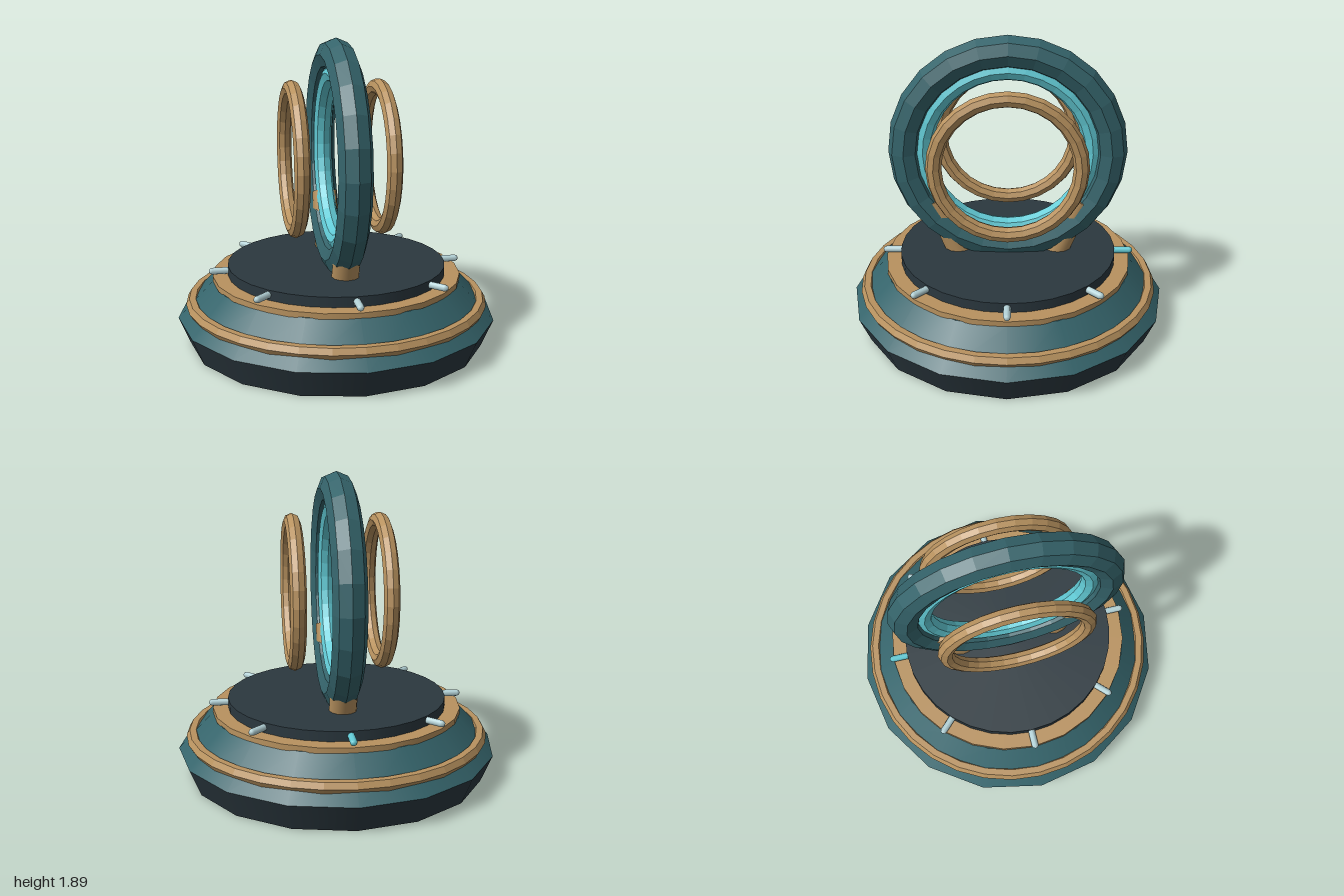
import * as THREE from 'three';

const mat = (name, color) => {
  const m = new THREE.MeshStandardMaterial({ color });
  m.name = name;
  return m;
};

export function createModel() {
  const root = new THREE.Group();
  root.name = 'ringPedestal';
  const teal = mat('teal', 0x35646b);
  const dark = mat('darkSlate', 0x2b383f);
  const gold = mat('bronze', 0xb8925f);
  const cyan = mat('glowCyan', 0x62cbd6);
  const pale = mat('paleCrystal', 0xb4d3d8);

  const add = (name, geo, material, x = 0, y = 0, z = 0) => {
    const mesh = new THREE.Mesh(geo, material);
    mesh.name = name;
    mesh.position.set(x, y, z);
    root.add(mesh);
    return mesh;
  };
  // Faceted copy of a geometry
  const facet = (geo) => {
    const g = geo.toNonIndexed();
    g.computeVertexNormals();
    return g;
  };
  // Solid disc or cone section between two heights
  const disc = (name, material, rTop, rBottom, y0, y1, sides) =>
    add(name, new THREE.CylinderGeometry(rTop, rBottom, y1 - y0, sides), material, 0, (y0 + y1) / 2, 0);

  // Stepped pedestal
  disc('baseFoot', dark, 1, 0.93, 0, 0.17, 16);
  disc('baseSlope', teal, 0.78, 1, 0.17, 0.4, 16);
  disc('upperTrim', gold, 0.78, 0.78, 0.395, 0.43, 24);
  disc('platform', dark, 0.685, 0.685, 0.43, 0.492, 32);
  add('baseBand', facet(new THREE.TorusGeometry(0.91, 0.04, 6, 32).rotateX(Math.PI / 2)), gold, 0, 0.255, 0);

  // Upright rings, all facing sideways
  const centreY = 1.155;
  const ring = (name, material, radius, tube, sides, segments, x = 0) =>
    add(name, facet(new THREE.TorusGeometry(radius, tube, sides, segments).rotateY(Math.PI / 2)), material, x, centreY, 0);
  ring('mainRing', teal, 0.635, 0.1, 8, 24);
  ring('innerGlowRing', cyan, 0.52, 0.06, 8, 32);
  for (const s of [1, -1]) ring(s > 0 ? 'leftSideRing' : 'rightSideRing', gold, 0.437, 0.048, 8, 28, s * 0.27);

  // Slanted posts that hold the main ring
  for (const s of [1, -1]) {
    const post = add(s > 0 ? 'frontPost' : 'backPost',
      new THREE.CylinderGeometry(0.082, 0.085, 0.44, 12), gold, 0, 0.631, s * 0.374);
    post.rotation.x = s * 0.38;
  }

  // Crystal pins around the platform, the rear one glowing
  for (let i = 0; i < 8; i++) {
    const a = (i * Math.PI) / 4;
    const geo = new THREE.CapsuleGeometry(0.022, 0.12, 2, 8).rotateX(Math.PI / 2);
    const pin = add('crystalPin' + (i + 1), geo, i === 4 ? cyan : pale,
      Math.sin(a) * 0.722, 0.463, Math.cos(a) * 0.722);
    pin.rotation.y = a;
  }
  return root;
}
